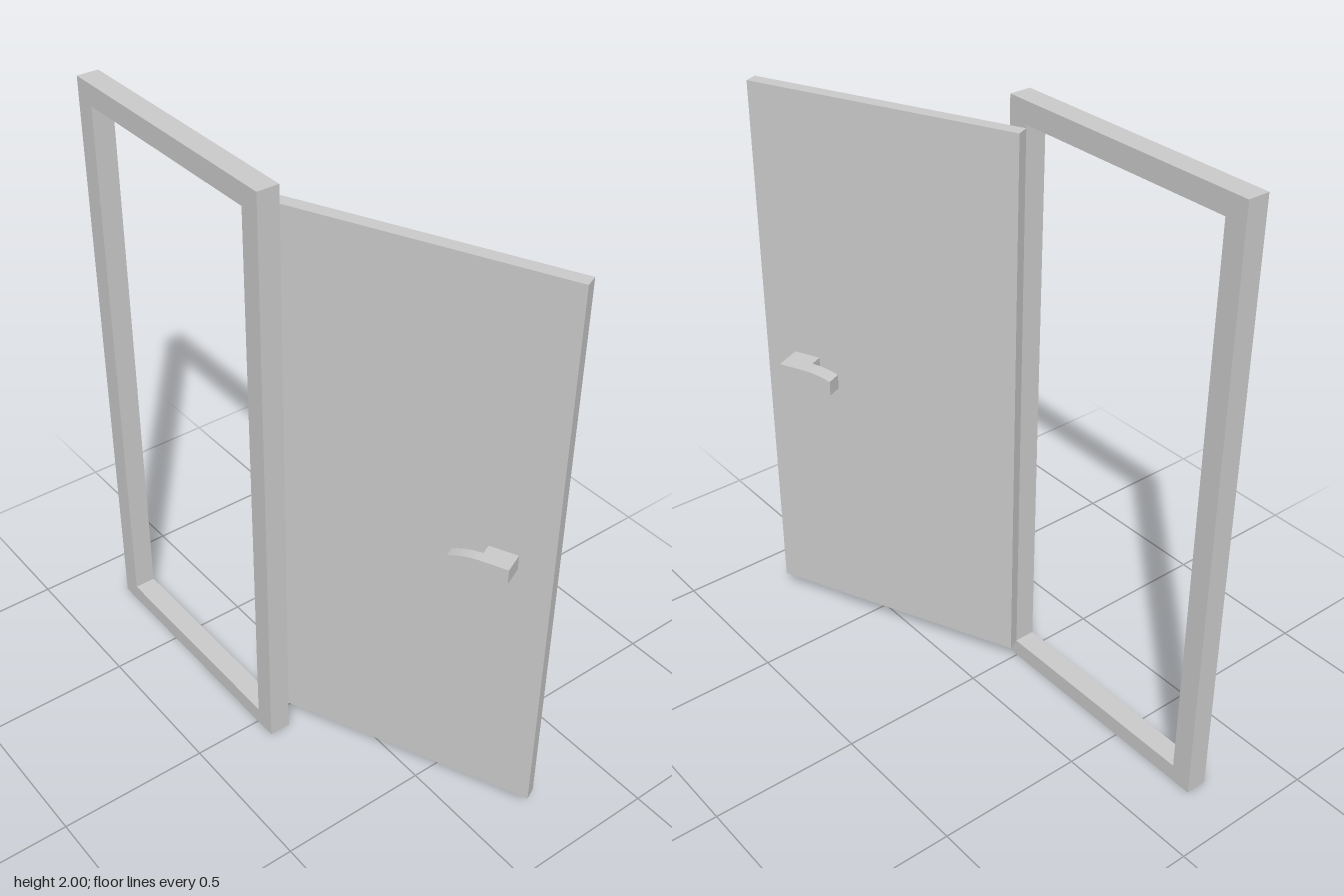
import * as THREE from 'three';

const material = new THREE.MeshStandardMaterial({ color: 0xcccccc, flatShading: true });

function addMesh(parent, name, geometry) {
  const mesh = new THREE.Mesh(geometry, material);
  mesh.name = name;
  parent.add(mesh);
}

// Box given by its min and max corners
function boxBetween(a, b) {
  return new THREE.BoxGeometry(b[0] - a[0], b[1] - a[1], b[2] - a[2])
    .translate((a[0] + b[0]) / 2, (a[1] + b[1]) / 2, (a[2] + b[2]) / 2);
}

// Extrude a (z, y) outline so that it fills x from xMin to xMax
function extrudeSideways(shape, xMin, xMax) {
  return new THREE.ExtrudeGeometry(shape, { depth: xMax - xMin, bevelEnabled: false, curveSegments: 6 })
    .rotateY(-Math.PI / 2).translate(xMax, 0, 0);
}

function rectangle(path, z0, y0, z1, y1) {
  path.moveTo(z0, y0).lineTo(z1, y0).lineTo(z1, y1).lineTo(z0, y1).closePath();
  return path;
}

// Handle: a square stem and a lever that droops towards its tip
function createHandle(name, side, near, far, drop) {
  const handle = new THREE.Group();
  handle.name = name;
  const [root, bend, tip] = [0.797, 0.705, 0.61];
  const [low, high] = [0.968, 1.018];
  const range = (a, b) => [Math.min(side * a, side * b), Math.max(side * a, side * b)];

  const [s0, s1] = range(0.02, near);
  addMesh(handle, 'handleStem', boxBetween([s0, low, bend], [s1, high, root]));

  const lever = new THREE.Shape();
  lever.moveTo(root, low).lineTo(bend, low);
  lever.quadraticCurveTo((bend + tip) / 2, low, tip, low - drop);
  lever.lineTo(tip, high - drop);
  lever.quadraticCurveTo((bend + tip) / 2, high, bend, high);
  lever.lineTo(root, high).closePath();
  addMesh(handle, 'handleLever', extrudeSideways(lever, ...range(near, far)));
  return handle;
}

export function createModel() {
  const model = new THREE.Group();
  model.name = 'openDoor';

  // Frame around the opening
  const outline = rectangle(new THREE.Shape(), -0.825, 0, 0.075, 2);
  outline.holes.push(rectangle(new THREE.Path(), -0.755, 0.06, 0.005, 1.93));
  addMesh(model, 'doorFrame', extrudeSideways(outline, -0.265, -0.193));

  // Door leaf swung open about its hinge edge, with a handle on each face
  const door = new THREE.Group();
  door.name = 'door';
  door.position.set(-0.17, 0, -0.009);
  door.rotation.y = 0.4215;
  addMesh(door, 'doorPanel', boxBetween([-0.0215, 0.063, 0], [0.0215, 1.922, 0.904]));
  door.add(createHandle('leftHandle', 1, 0.064, 0.114, 0.016));
  door.add(createHandle('rightHandle', -1, 0.058, 0.092, 0.021));
  model.add(door);

  return model;
}
